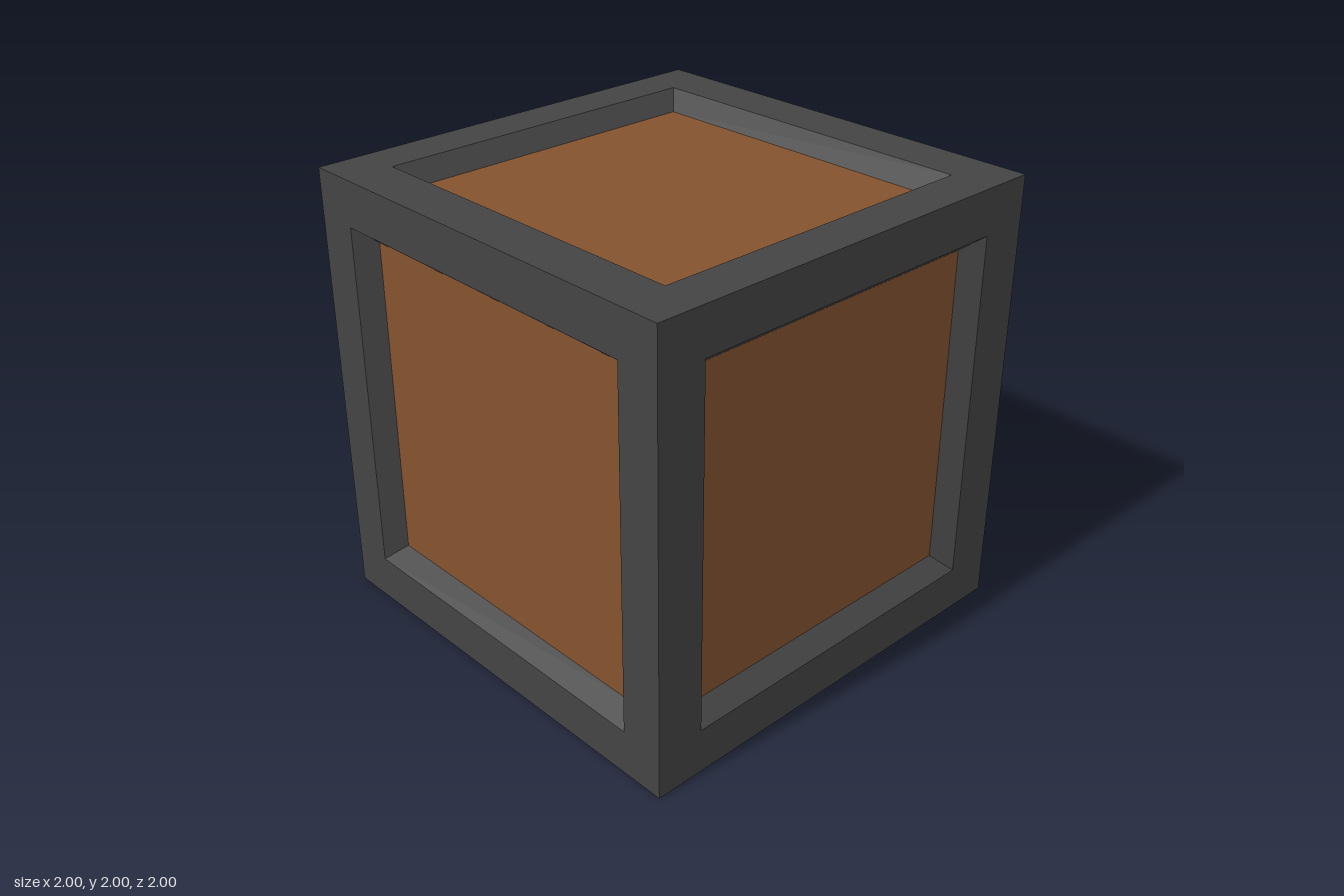
import * as THREE from 'three';

// Half sizes along x, y, z of the cube, the recess openings and the recess floors
const OUTER = [1, 1, 1];
const OPENING = [0.78, 0.797, 0.803];
const FLOOR = [0.715, 0.73, 0.734];
const DEPTH = 0.085;
const SIDES = [
  ['right', 0, -1], ['left', 0, 1], ['bottom', 1, -1],
  ['top', 1, 1], ['back', 2, -1], ['front', 2, 1],
];

// Four corners, counter-clockwise from outside, of a rectangle facing along an axis
function ring(axis, sign, half, height) {
  const b = (axis + 1) % 3, c = (axis + 2) % 3;
  return [[-1, -1], [1, -1], [1, 1], [-1, 1]].map(([u, v]) => {
    const p = [0, 0, 0];
    p[axis] = sign * height;
    p[b] = sign * u * half[b];
    p[c] = v * half[c];
    return p;
  });
}

// Flat-sided geometry from quads
function quads(list) {
  const points = list.flatMap(([a, b, c, d]) => [a, b, c, a, c, d]).flat();
  const geometry = new THREE.BufferGeometry();
  geometry.setAttribute('position', new THREE.Float32BufferAttribute(points, 3));
  geometry.computeVertexNormals();
  return geometry;
}

// Quads joining an outer ring to an inner one
const band = (p, q) => p.map((_, i) => {
  const j = (i + 1) % 4;
  return [p[i], p[j], q[j], q[i]];
});

export function createModel() {
  const frameMaterial = new THREE.MeshStandardMaterial({ color: 0x444444 });
  frameMaterial.name = 'darkGreyFrame';
  const panelMaterial = new THREE.MeshStandardMaterial({ color: 0x84532f });
  panelMaterial.name = 'brownPanel';

  const crate = new THREE.Group();
  crate.name = 'crate';

  for (const [name, axis, sign] of SIDES) {
    const side = new THREE.Group();
    side.name = `${name}Side`;
    const outer = ring(axis, sign, OUTER, 1);
    const opening = ring(axis, sign, OPENING, 1);
    const floor = ring(axis, sign, FLOOR, 1 - DEPTH);

    // Flat border with a bevel sloping into the recess
    const frame = new THREE.Mesh(quads([...band(outer, opening), ...band(opening, floor)]), frameMaterial);
    frame.name = `${name}Frame`;

    // Sunken panel
    const panel = new THREE.Mesh(quads([floor]), panelMaterial);
    panel.name = `${name}Panel`;

    side.add(frame, panel);
    crate.add(side);
  }

  crate.position.y = 1;
  const model = new THREE.Group();
  model.name = 'framedCrate';
  model.add(crate);
  return model;
}
